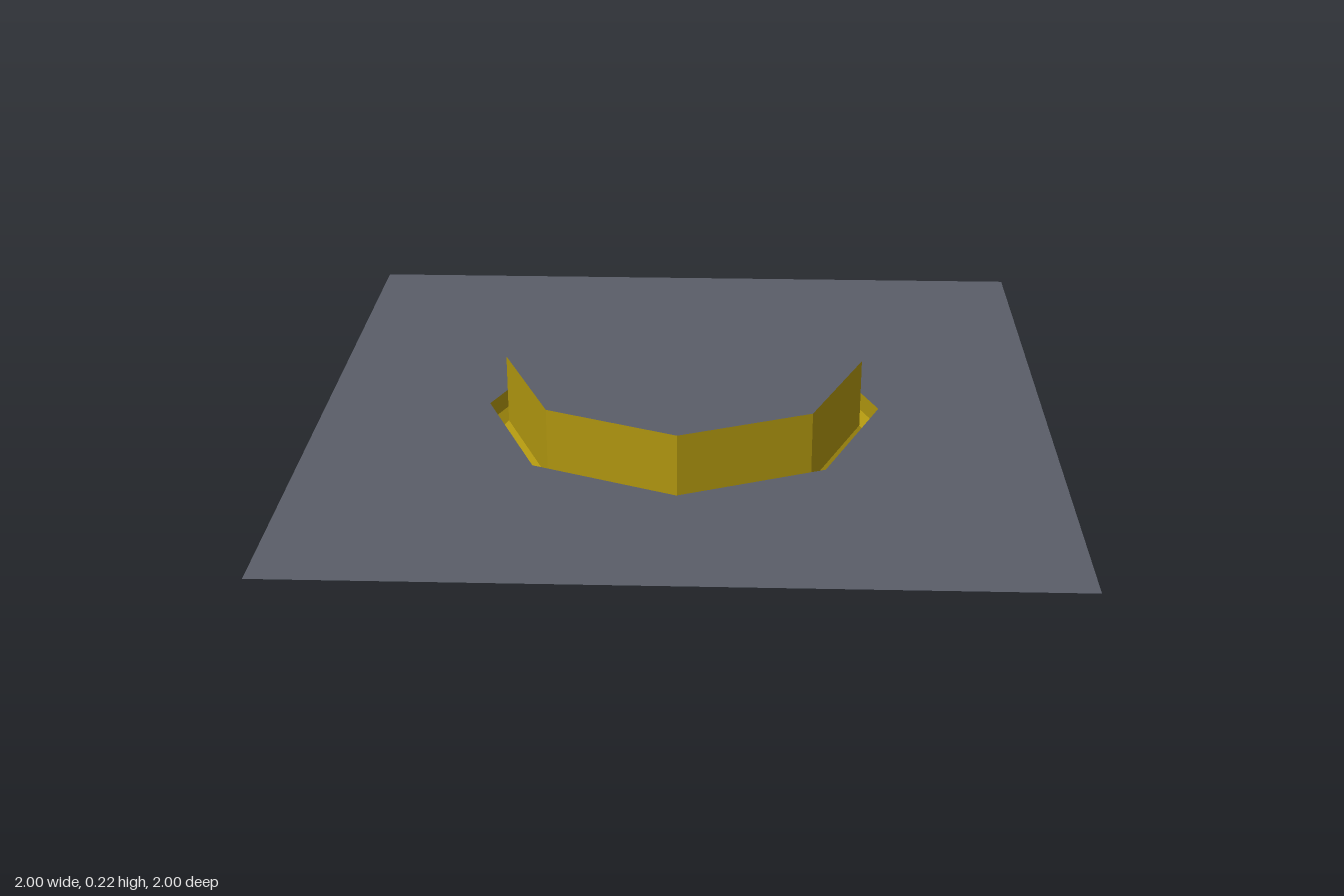
import * as THREE from 'three';

const SIDES = 8;
const OUTER = 0.543, MID = 0.517, INNER = 0.492; // groove radii
const FLOOR = 0.078, BEVEL = 0.026, TOP = 0.222; // heights

// corners of a regular octagon with points on the axes
function octagon(radius) {
  return Array.from({ length: SIDES }, (_, i) => {
    const a = (i / SIDES) * Math.PI * 2;
    return new THREE.Vector2(Math.cos(a) * radius, Math.sin(a) * radius);
  });
}

// faceted eight-sided band following a radius/height profile
function band(profile) {
  const lathe = new THREE.LatheGeometry(profile.map(([r, y]) => new THREE.Vector2(r, y)), SIDES);
  const geometry = lathe.toNonIndexed();
  geometry.computeVertexNormals();
  return geometry;
}

export function createModel() {
  const grey = new THREE.MeshStandardMaterial({ color: 0x5a5e68, side: THREE.DoubleSide });
  grey.name = 'slate grey';
  const gold = new THREE.MeshStandardMaterial({ color: 0xb0960f, side: THREE.DoubleSide });
  gold.name = 'dark gold';

  const model = new THREE.Group();
  model.name = 'raisedOctagonFloor';
  const add = (name, geometry, material, y = 0) => {
    const mesh = new THREE.Mesh(geometry, material);
    mesh.name = name;
    mesh.position.y = y;
    model.add(mesh);
  };

  // square floor sheet with an octagonal opening
  const square = new THREE.Shape([[-1, -1], [1, -1], [1, 1], [-1, 1]].map(([x, y]) => new THREE.Vector2(x, y)));
  square.holes.push(new THREE.Path(octagon(OUTER).reverse()));
  add('floor', new THREE.ShapeGeometry(square).rotateX(-Math.PI / 2), grey, FLOOR);

  // raised platform top
  add('platformTop', new THREE.ShapeGeometry(new THREE.Shape(octagon(INNER))).rotateX(-Math.PI / 2), grey, TOP);

  // platform side, and the V-bottomed groove sunk around it
  add('platformWall', band([[INNER, BEVEL], [INNER, TOP]]), gold);
  add('grooveInnerBevel', band([[MID, 0], [INNER, BEVEL]]), gold);
  add('grooveOuterBevel', band([[MID, 0], [OUTER, BEVEL]]), gold);
  add('grooveOuterWall', band([[OUTER, BEVEL], [OUTER, FLOOR]]), gold);

  return model;
}
